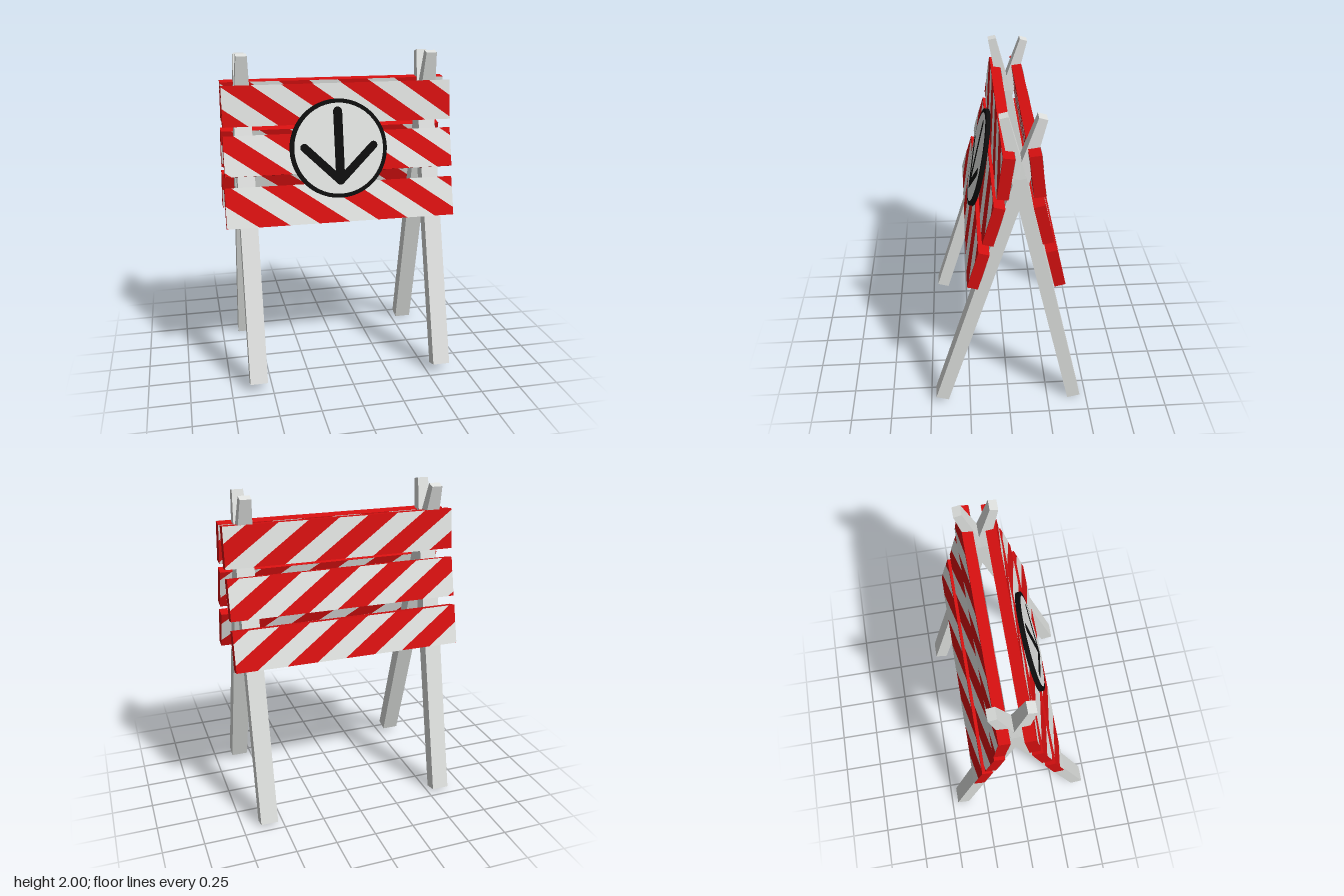
import * as THREE from 'three';

const red = new THREE.MeshStandardMaterial({ color: 0xd81010 });
red.name = 'red paint';
const white = new THREE.MeshStandardMaterial({ color: 0xe4e6e4, side: THREE.DoubleSide });
white.name = 'white paint';
const grey = new THREE.MeshStandardMaterial({ color: 0xe0e2e0 });
grey.name = 'pale leg';
const black = new THREE.MeshStandardMaterial({ color: 0x0d0d0d });
black.name = 'black';

const W = 1.43, H = 0.245, D = 0.064;      // board size
const PERIOD = 0.371, SHIFT = 0.345;       // stripe spacing and slant

function add(parent, name, geometry, material) {
  const mesh = new THREE.Mesh(geometry, material);
  mesh.name = name;
  parent.add(mesh);
  return mesh;
}

// Keep the part of a polygon with side * x <= limit
function clip(points, side, limit) {
  const out = [];
  points.forEach((p, i) => {
    const q = points[(i + 1) % points.length];
    const a = limit - side * p.x, b = limit - side * q.x;
    if (a >= 0) out.push(p);
    if (a * b < 0) out.push(p.clone().lerp(q, a / (a - b)));
  });
  return out;
}

// Red board with slanted white stripes on both faces
function board(name, x, y, z, tilt, phase) {
  const g = new THREE.Group();
  g.name = name;
  add(g, 'boardCore', new THREE.BoxGeometry(W, H, D), red);
  const shapes = [];
  for (let k = -4; k <= 5; k++) {
    const a = phase + 0.19 + k * PERIOD, b = phase + (k + 1) * PERIOD;
    let pts = [[a + SHIFT, -H / 2], [b + SHIFT, -H / 2], [b, H / 2], [a, H / 2]]
      .map(p => new THREE.Vector2(...p));
    pts = clip(clip(pts, 1, W / 2), -1, W / 2);
    if (pts.length > 2) shapes.push(new THREE.Shape(pts));
  }
  for (const s of [1, -1]) {
    add(g, s > 0 ? 'frontStripes' : 'backStripes', new THREE.ShapeGeometry(shapes), white)
      .position.z = s * (D / 2 + 0.002);
  }
  g.position.set(x, y, z);
  g.rotation.x = tilt;
  return g;
}

// Square leg that narrows above the crossing
function leg(name, x, foot, top) {
  const dz = top[0] - foot[0], dy = top[1] - foot[1], len = Math.hypot(dz, dy);
  const geo = new THREE.BoxGeometry(0.107, len, 0.082, 1, 2, 1);
  const p = geo.attributes.position;
  for (let i = 0; i < p.count; i++) {
    const y = p.getY(i);
    if (Math.abs(y) < 0.01) p.setY(i, len / 2 - 0.36);
    else if (y > 0) {
      p.setX(i, p.getX(i) * 0.62);
      p.setZ(i, p.getZ(i) * 0.6);
    }
  }
  const flat = geo.toNonIndexed();
  flat.computeVertexNormals();
  const mesh = new THREE.Mesh(flat, grey);
  mesh.name = name;
  mesh.position.set(x, (foot[1] + top[1]) / 2, (foot[0] + top[0]) / 2);
  mesh.rotation.x = Math.atan2(dz, dy);
  return mesh;
}

// Round sign with a black rim and a down arrow
function sign() {
  const g = new THREE.Group();
  g.name = 'sign';
  add(g, 'signDisc', new THREE.CylinderGeometry(0.302, 0.302, 0.024, 48).rotateX(Math.PI / 2), black);
  add(g, 'signFace', new THREE.CircleGeometry(0.277, 48), white).position.z = 0.0145;

  const arrow = new THREE.Group();
  arrow.name = 'arrow';
  const bar = (name, x0, y0, x1, y1, w) => {
    const len = Math.hypot(x1 - x0, y1 - y0), r = w / 2;
    const s = new THREE.Shape();
    s.moveTo(0, -r);
    s.lineTo(len, -r);
    s.absarc(len, 0, r, -Math.PI / 2, Math.PI / 2, false);
    s.lineTo(0, r);
    s.absarc(0, 0, r, Math.PI / 2, Math.PI * 1.5, false);
    const m = add(arrow, name, new THREE.ShapeGeometry(s, 6), black);
    m.position.set(x0, y0, 0.018);
    m.rotation.z = Math.atan2(y1 - y0, x1 - x0);
  };
  bar('arrowShaft', 0, -0.19, 0, 0.225, 0.056);
  for (const s of [-1, 1]) bar('arrowArm', 0, -0.197, s * 0.215, 0.012, 0.05);
  g.add(arrow);

  g.position.set(-0.02, 1.433, 0.15);
  g.rotation.x = -0.217;
  return g;
}

export function createModel() {
  const model = new THREE.Group();
  model.name = 'barricade';

  // Crossing pairs of legs
  for (const [side, x] of [['left', 0.588], ['right', -0.585]]) {
    model.add(leg(side + 'FrontLeg', x, [0.427, 0.045], [-0.168, 1.985]));
    model.add(leg(side + 'BackLeg', x, [-0.42, 0.011], [0.035, 1.995]));
  }

  // Front and back boards, top to bottom
  model.add(
    board('frontTopBoard', 0.002, 1.692, 0.03, -0.14, -0.353),
    board('frontMiddleBoard', -0.002, 1.398, 0.095, -0.272, -0.47),
    board('frontBottomBoard', -0.009, 1.1, 0.183, -0.284, -0.496),
    board('backTopBoard', 0.006, 1.704, -0.137, 0.12, -0.353),
    board('backMiddleBoard', 0, 1.401, -0.178, 0.227, -0.47),
    board('backBottomBoard', 0, 1.107, -0.253, 0.233, -0.496),
  );

  model.add(sign());
  return model;
}
